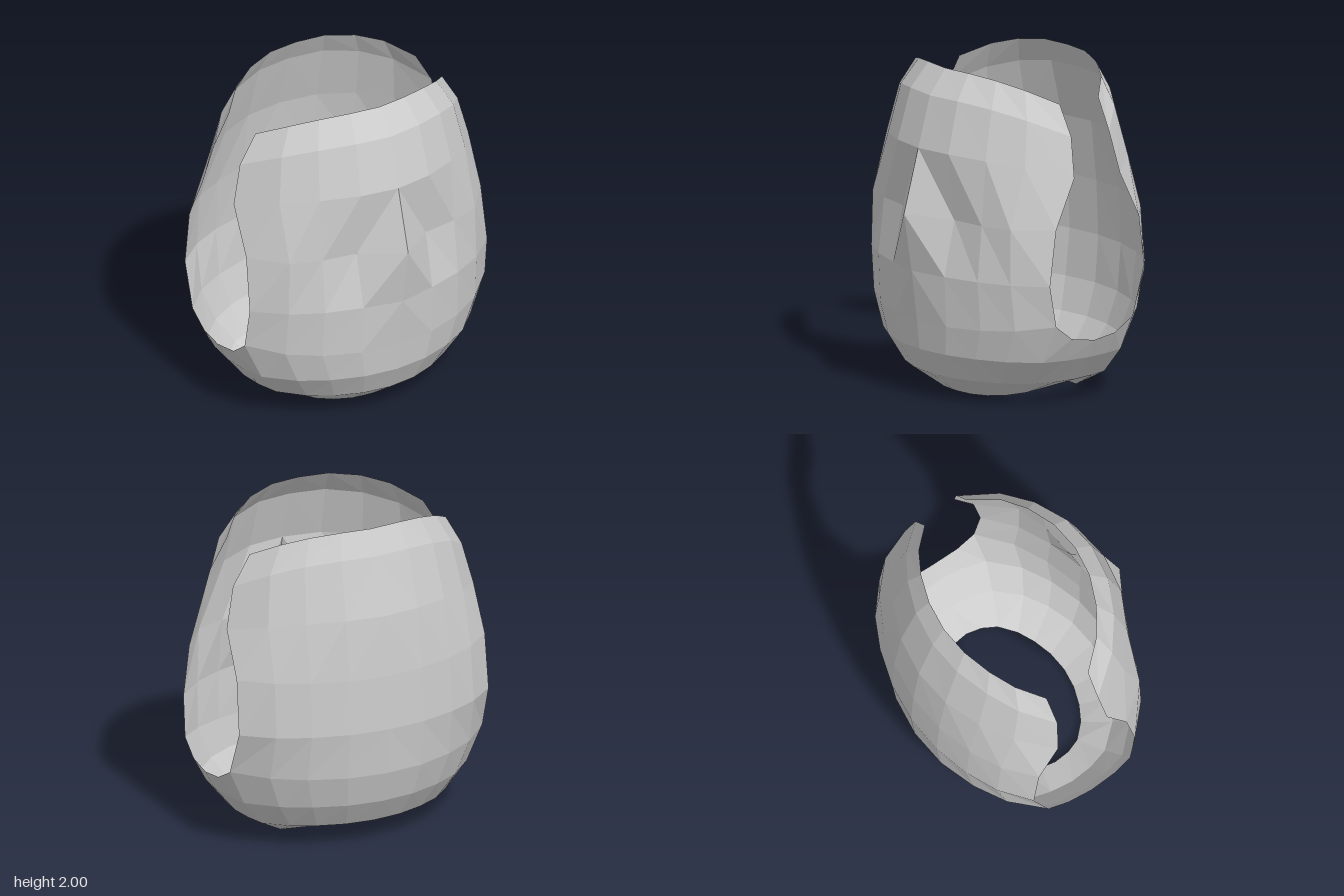
import * as THREE from 'three';

const material = new THREE.MeshStandardMaterial({
  color: 0xcccccc, flatShading: true, side: THREE.DoubleSide,
});

// How far each column has travelled from the centre line (0) to the panel edge (1)
const ALONG_X = [0, 0.29, 0.56, 0.79, 1];
const ALONG_Y = [0, 0, 0.15, 0.45, 1];
const ALONG_Z = [0, 0.07, 0.27, 0.55, 1];

// Panel rows, top to bottom: centre y, centre z, edge x, edge y, edge z
const FRONT = [
  [2.00, 0.43, 0.66, 1.85, 0.085],
  [1.85, 0.55, 0.77, 1.67, 0.085],
  [1.54, 0.64, 0.83, 1.43, 0.11],
  [1.13, 0.63, 0.83, 1.13, 0.25],
  [0.79, 0.66, 0.84, 0.79, 0.305],
  [0.48, 0.65, 0.85, 0.54, 0.265],
  [0.30, 0.63, 0.74, 0.30, 0.28],
  [0.14, 0.55, 0.61, 0.14, 0.24],
  [0.00, 0.35, 0.43, 0.04, 0.16],
];
const BACK = [
  [2.00, -0.51, 0.66, 1.85, -0.21],
  [1.85, -0.59, 0.77, 1.66, -0.205],
  [1.50, -0.69, 0.83, 1.41, -0.24],
  [1.13, -0.73, 0.835, 1.13, -0.38],
  [0.79, -0.745, 0.84, 0.79, -0.42],
  [0.50, -0.72, 0.85, 0.52, -0.32],
  [0.30, -0.66, 0.75, 0.30, -0.31],
  [0.14, -0.555, 0.62, 0.14, -0.29],
  [0.135, -0.54, 0.45, 0.04, -0.21],
];

// Points between the two panels under the arm opening, front to back
const SIDE = [
  [[0.855, 0.45, 0.15], [0.86, 0.42, -0.02], [0.855, 0.44, -0.18]],
  [[0.78, 0.30, 0.13], [0.795, 0.30, -0.02], [0.78, 0.30, -0.18]],
  [[0.65, 0.14, 0.11], [0.665, 0.14, -0.03], [0.65, 0.14, -0.17]],
  [[0.47, 0.06, 0.07], [0.485, 0.075, -0.03], [0.47, 0.075, -0.13]],
];

const lerp = THREE.MathUtils.lerp;

// Half a row, from the centre line out to the edge
function halfRow([yc, zc, xe, ye, ze]) {
  return ALONG_X.map((t, i) => [xe * t, lerp(yc, ye, ALONG_Y[i]), lerp(zc, ze, ALONG_Z[i])]);
}

const mirror = ([x, y, z]) => [-x, y, z];
const fullRow = (half) => [...half.slice(1).reverse().map(mirror), ...half];

// Skin a grid of points; diagonals are mirrored about the middle column
function skin(name, rows) {
  const n = rows[0].length;
  const index = [];
  for (let r = 0; r < rows.length - 1; r++) {
    for (let c = 0; c < n - 1; c++) {
      const a = r * n + c, b = a + n;
      if (c < (n - 1) / 2) index.push(a, b, a + 1, a + 1, b, b + 1);
      else index.push(a, b, b + 1, a, b + 1, a + 1);
    }
  }
  const geometry = new THREE.BufferGeometry();
  geometry.setAttribute('position', new THREE.Float32BufferAttribute(rows.flat(2), 3));
  geometry.setIndex(index);
  const flat = geometry.toNonIndexed();
  flat.computeVertexNormals();
  const mesh = new THREE.Mesh(flat, material);
  mesh.name = name;
  return mesh;
}

export function createModel() {
  const group = new THREE.Group();
  group.name = 'bodyShell';

  // Front panel, with a keel rising from a sunken middle
  const front = FRONT.map(halfRow);
  front[3][0] = [0, 1.15, 0.75];
  front[3][1] = [0.245, 1.13, 0.56];
  front[3][3][2] = 0.46;
  front[4][0][2] = 0.69;
  group.add(skin('frontPanel', front.map(fullRow)));

  // Back panel
  const back = BACK.map(halfRow);
  group.add(skin('backPanel', back.map((half) => fullRow(half).reverse())));

  // Bands joining the panels below the arm openings
  const band = SIDE.map((points, i) => [front[i + 5][4], ...points, back[i + 5][4]]);
  group.add(skin('leftSideBand', band));
  group.add(skin('rightSideBand', band.map((row) => row.map(mirror).reverse())));

  return group;
}
